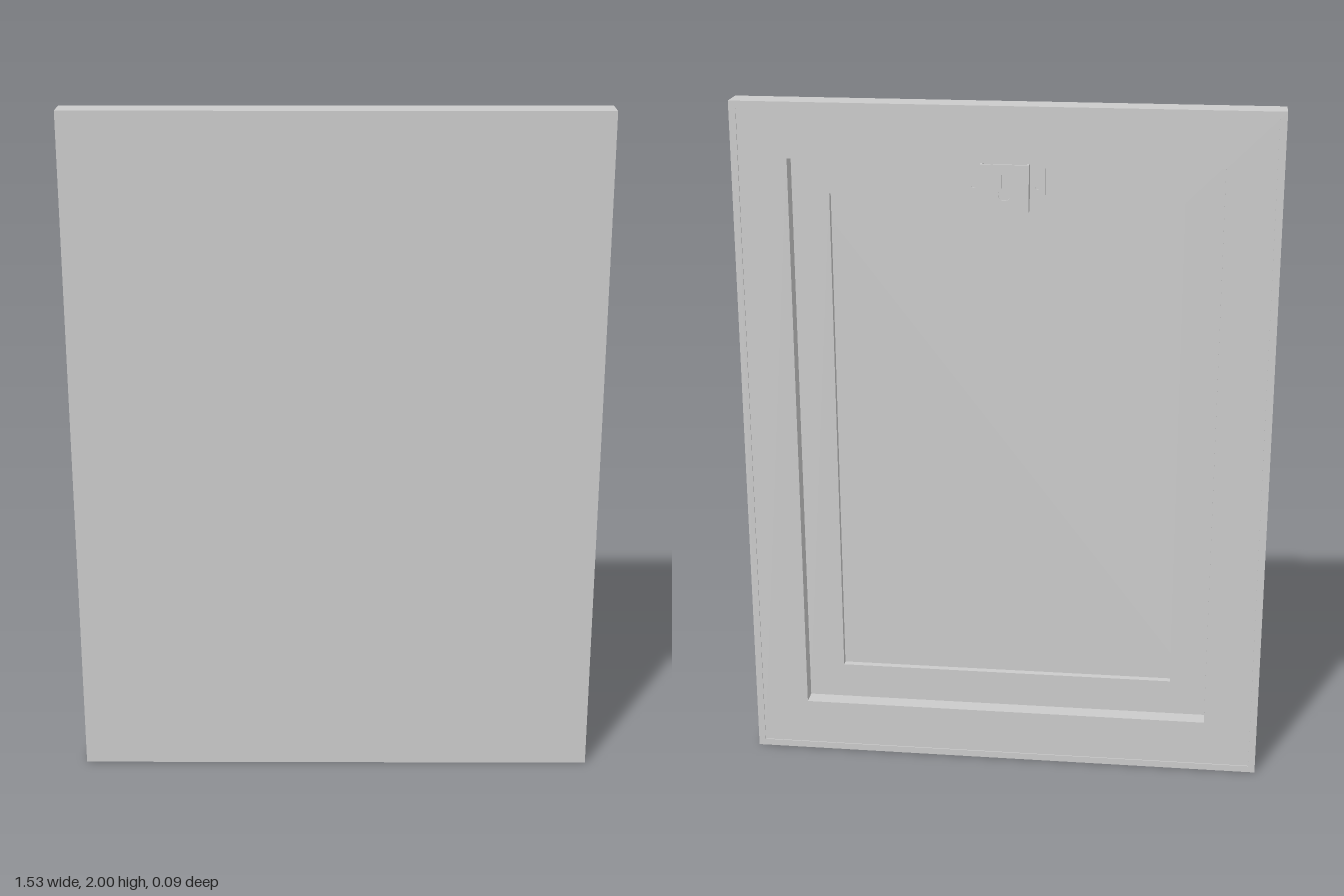
import * as THREE from 'three';

const W = 1.53, H = 2;
const material = new THREE.MeshStandardMaterial({ color: 0xcccccc, flatShading: true });

function rect(PathType, inset) {
  const x = W / 2 - inset, y = H / 2 - inset;
  return new PathType([[-x, -y], [x, -y], [x, y], [-x, y]].map(p => new THREE.Vector2(...p)));
}

// Extrude a shape between two z planes
function slab(name, shape, z0, z1) {
  const geo = new THREE.ExtrudeGeometry(shape, { depth: z1 - z0, bevelEnabled: false, curveSegments: 12 });
  const mesh = new THREE.Mesh(geo.translate(0, 0, z0), material);
  mesh.name = name;
  return mesh;
}

// Rectangular ring given by its insets from the outer edge
function ring(name, outer, inner, z0, z1) {
  const shape = rect(THREE.Shape, outer);
  shape.holes.push(rect(THREE.Path, inner));
  return slab(name, shape, z0, z1);
}

function plateShape(x0, x1, y0, y1) {
  return new THREE.Shape([[x0, y0], [x1, y0], [x1, y1], [x0, y1]].map(p => new THREE.Vector2(...p)));
}

// Hat-shaped wall hanger: raised keyhole plate, two side walls, two screw flanges
function createHanger() {
  const hanger = new THREE.Group();
  hanger.name = 'hanger';
  const y0 = 0.703, y1 = 0.835, half = 0.068, wing = 0.112, t = 0.006;
  const ledge = 0.011, top = -0.024;

  const plate = plateShape(-half, half, y0, y1);
  const keyhole = new THREE.Path();
  const r = 0.018, s = 0.009, cy = 0.752, a = Math.acos(s / r);
  keyhole.absarc(0, cy, r, Math.PI - a, 2 * Math.PI + a, false);
  keyhole.absarc(0, 0.803, s, 0, Math.PI, false);
  keyhole.closePath();
  plate.holes.push(keyhole);
  hanger.add(slab('keyholePlate', plate, top, top + t));

  for (const side of [-1, 1]) {
    const at = (a, b) => [Math.min(side * a, side * b), Math.max(side * a, side * b)];
    hanger.add(slab('hangerWall', plateShape(...at(half - t, half), y0, y1), top + t, ledge));
    const flange = plateShape(...at(half, wing), y0, y1);
    flange.holes.push(new THREE.Path().absarc(side * 0.09, 0.769, 0.007, 0, Math.PI * 2, false));
    hanger.add(slab('hangerFlange', flange, ledge - t, ledge));
  }
  return hanger;
}

export function createModel() {
  const model = new THREE.Group();
  model.name = 'wallPanel';
  const body = new THREE.Group();
  body.name = 'panelBody';
  body.add(
    slab('frontPanel', rect(THREE.Shape, 0), 0.031, 0.042),
    ring('outerRim', 0, 0.02, -0.042, 0.031),
    ring('backFrame', 0.02, 0.158, -0.039, 0.031),
    ring('innerLedge', 0.158, 0.265, 0.011, 0.031),
    createHanger()
  );
  // The panel leans forward very slightly
  body.rotation.x = 0.0025;
  body.position.y = H / 2;
  model.add(body);
  return model;
}
